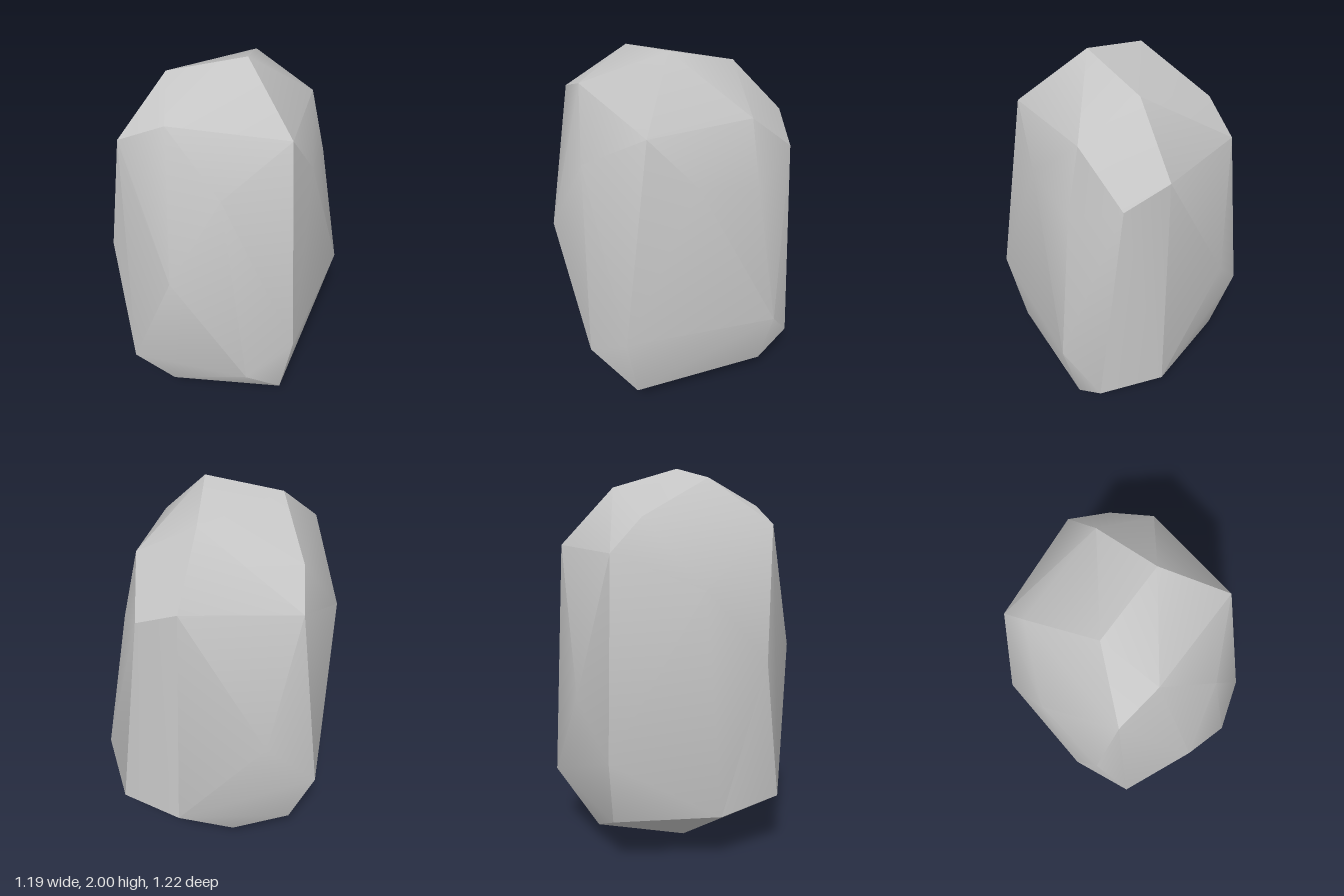
import * as THREE from 'three';
import { ConvexGeometry } from 'three/addons/geometries/ConvexGeometry.js';
import { toCreasedNormals } from 'three/addons/utils/BufferGeometryUtils.js';

// Corner points of the boulder, grouped from crown to base
const crown = [
  [0.08, 2.0, 0.07], [-0.30, 1.92, 0.10], [0.08, 1.89, -0.29], [-0.25, 1.79, 0.39],
  [0.32, 1.72, 0.32], [0.38, 1.72, -0.21], [-0.41, 1.72, -0.28], [-0.48, 1.69, 0.37],
  [0.14, 1.59, -0.56], [-0.42, 1.55, -0.44], [0.35, 1.49, -0.48],
];
const flanks = [
  [0.02, 1.50, 0.52], [0.415, 1.45, 0.10], [-0.60, 1.38, -0.03], [0.46, 1.37, -0.22],
  [-0.22, 1.05, 0.61], [-0.59, 1.02, 0.30], [-0.28, 0.85, -0.58], [0.39, 0.61, 0.50],
  [0.59, 0.59, -0.29], [-0.54, 0.58, -0.49],
];
const base = [
  [0.16, 0.44, 0.61], [0.49, 0.35, -0.47], [0.17, 0.35, -0.61], [-0.50, 0.30, 0.42],
  [-0.58, 0.26, 0.07], [-0.42, 0.24, -0.44], [0.49, 0.21, -0.29], [-0.27, 0.19, 0.46],
  [0.33, 0.17, 0.42], [-0.11, 0.105, -0.44], [-0.15, 0, 0.03],
];

export function createModel() {
  const stone = new THREE.MeshStandardMaterial({ color: 0xc5c5c5 });
  stone.name = 'pale stone grey';

  // Convex hull with soft shading inside facets and sharp chiselled ridges
  const points = [...crown, ...flanks, ...base].map((p) => new THREE.Vector3(...p));
  const geometry = toCreasedNormals(new ConvexGeometry(points), THREE.MathUtils.degToRad(31));

  const boulder = new THREE.Mesh(geometry, stone);
  boulder.name = 'boulder';

  const model = new THREE.Group();
  model.name = 'standing rock';
  model.add(boulder);
  return model;
}
